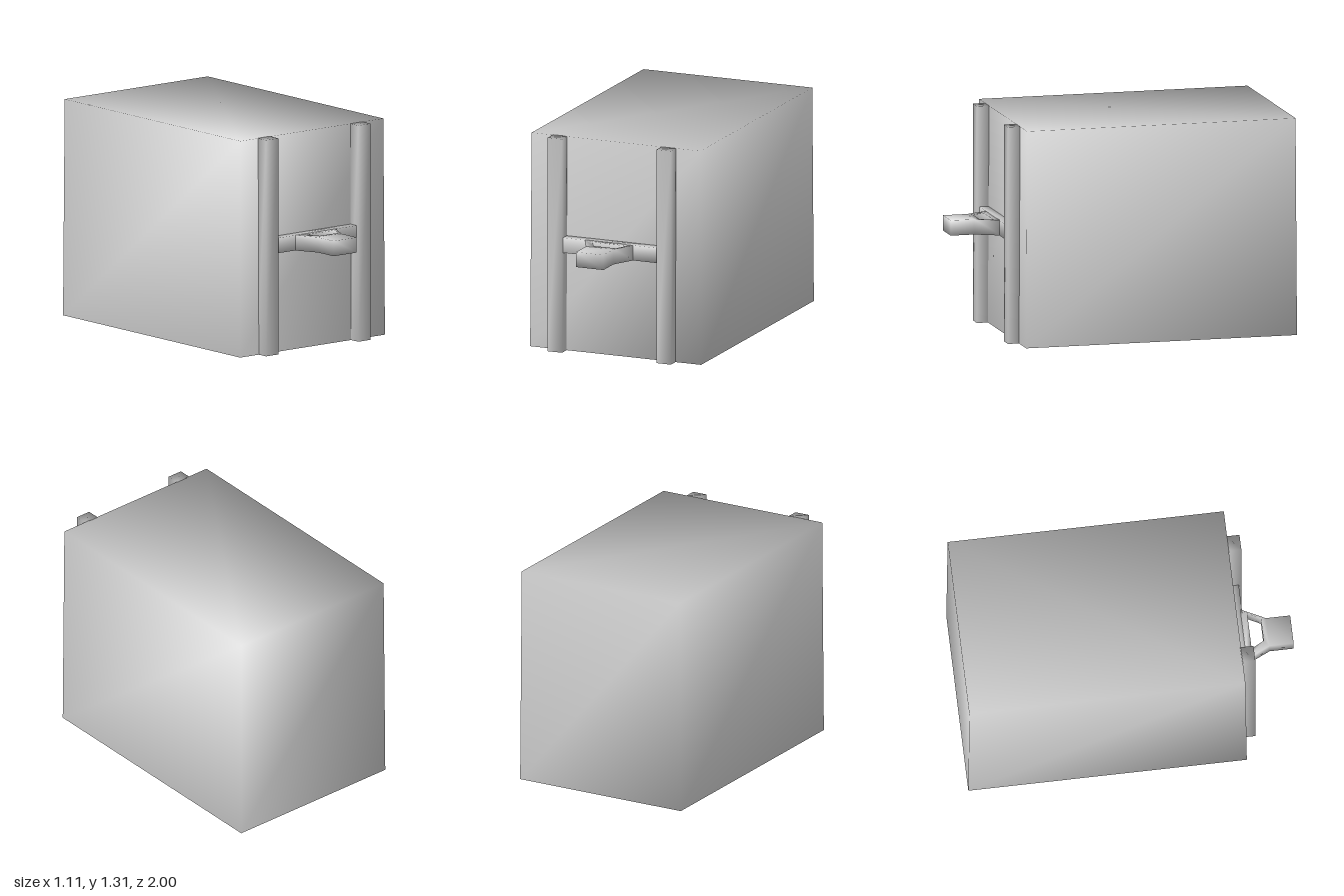
import * as THREE from 'three';
import { mergeVertices } from 'three/addons/utils/BufferGeometryUtils.js';

const material = new THREE.MeshStandardMaterial({ color: 0xcccccc });

// Share corners so normals blend across the edges
function smooth(geometry) {
  geometry.deleteAttribute('normal');
  geometry.deleteAttribute('uv');
  const merged = mergeVertices(geometry, 1e-4);
  merged.computeVertexNormals();
  return merged;
}

function part(name, geometry, x = 0, y = 0, z = 0) {
  const mesh = new THREE.Mesh(geometry, material);
  mesh.name = name;
  mesh.position.set(x, y, z);
  return mesh;
}

// Four corners at one height: half width, front z, back z
const ring = (y, w, front, back) =>
  [[-w, y, front], [w, y, front], [w, y, back], [-w, y, back]];

// Band of four walls between two rings, with an optional cap on the upper one
function band(lower, upper, { cap = false, flip = false } = {}) {
  const index = [];
  for (let i = 0; i < 4; i++) {
    const j = (i + 1) % 4;
    index.push(i, j, j + 4, i, j + 4, i + 4);
  }
  if (cap) index.push(4, 5, 6, 4, 6, 7);
  if (flip) index.reverse();
  const geometry = new THREE.BufferGeometry();
  geometry.setAttribute('position', new THREE.Float32BufferAttribute([...lower, ...upper].flat(), 3));
  geometry.setIndex(index);
  geometry.computeVertexNormals();
  return geometry;
}

export function createModel() {
  const model = new THREE.Group();

  // Hollow, slightly tapered body, open underneath
  const t = 0.02;
  const outerBottom = ring(0, 0.555, 0.667, -1);
  const outerTop = ring(1.31, 0.548, 0.66, -0.993);
  const innerBottom = ring(0, 0.555 - t, 0.667 - t, -1 + t);
  const innerTop = ring(1.31 - t, 0.548 - t, 0.66 - t, -0.993 + t);
  const body = new THREE.Group();
  body.name = 'body';
  body.add(
    part('outerShell', band(outerBottom, outerTop, { cap: true })),
    part('innerShell', band(innerBottom, innerTop, { cap: true, flip: true })),
    part('bottomRim', band(innerBottom, outerBottom)),
  );
  model.add(body);

  // Upright rails on the front
  for (const [name, x] of [['rightRail', -0.365], ['leftRail', 0.342]]) {
    model.add(part(name, smooth(new THREE.BoxGeometry(0.094, 1.31, 0.08)), x, 0.655, 0.695));
  }

  // Crossbar between the rails
  model.add(part('crossbar', smooth(new THREE.BoxGeometry(0.615, 0.092, 0.065)), -0.013, 0.656, 0.687));

  // Forked coupling: two arms converging on a block, drawn in plan (x, z)
  const plan = new THREE.Shape([
    [-0.18, 0.71], [0.14, 0.71], [0.067, 0.855], [0.067, 1], [-0.11, 1], [-0.11, 0.855],
  ].map(([x, z]) => new THREE.Vector2(x, z)));
  plan.holes.push(new THREE.Path([
    [-0.115, 0.748], [-0.073, 0.825], [0.068, 0.825], [0.108, 0.748],
  ].map(([x, z]) => new THREE.Vector2(x, z))));
  const coupling = new THREE.ExtrudeGeometry(plan, { depth: 0.092, bevelEnabled: false });
  coupling.rotateX(Math.PI / 2);
  model.add(part('coupling', smooth(coupling), 0, 0.702, 0));

  return model;
}
